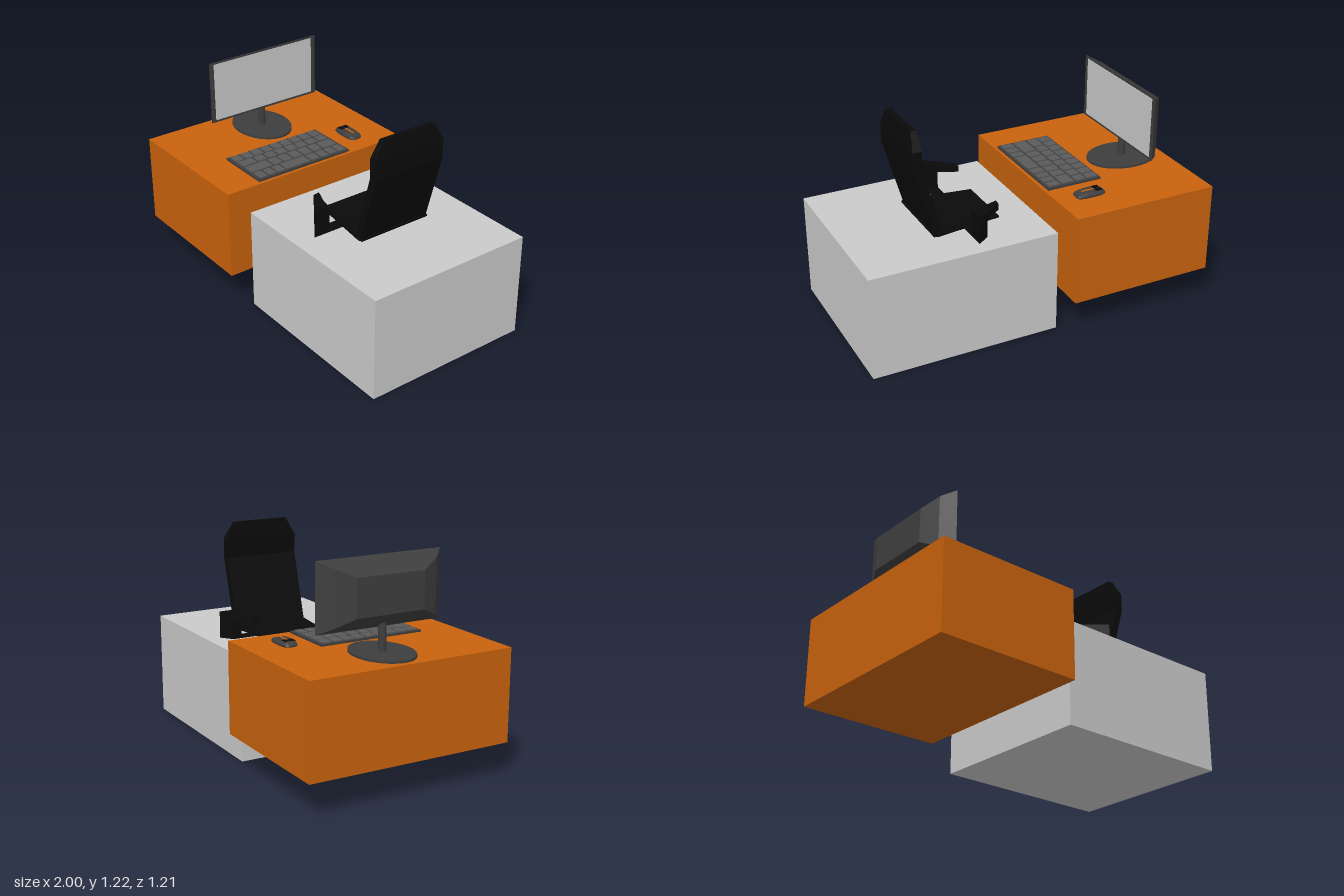
import * as THREE from 'three';

const mat = (name, color, extra = {}) => {
  const m = new THREE.MeshStandardMaterial({ color, ...extra });
  m.name = name;
  return m;
};

// Skin between matching rings of [x, y, z] points, closed at both ends, faceted.
function loft(rings) {
  const pos = [];
  const tri = (a, b, c) => pos.push(...a, ...b, ...c);
  const n = rings[0].length;
  for (let r = 0; r + 1 < rings.length; r++) {
    const a = rings[r], b = rings[r + 1];
    for (let i = 0; i < n; i++) {
      const j = (i + 1) % n;
      tri(a[i], a[j], b[j]);
      tri(a[i], b[j], b[i]);
    }
  }
  const first = rings[0], last = rings[rings.length - 1];
  for (let i = 1; i + 1 < n; i++) {
    tri(first[0], first[i + 1], first[i]);
    tri(last[0], last[i], last[i + 1]);
  }
  const g = new THREE.BufferGeometry();
  g.setAttribute('position', new THREE.Float32BufferAttribute(pos, 3));
  g.computeVertexNormals();
  return g;
}

// Plan outline of [x, z] points raised from y0 to y1.
function plan(points, y0, y1) {
  const shape = new THREE.Shape(points.map(([x, z]) => new THREE.Vector2(x, -z)));
  const g = new THREE.ExtrudeGeometry(shape, { depth: y1 - y0, bevelEnabled: false });
  return g.rotateX(-Math.PI / 2).translate(0, y0, 0);
}

// Box given by its limits.
function span(x0, x1, y0, y1, z0, z1) {
  return new THREE.BoxGeometry(x1 - x0, y1 - y0, z1 - z0)
    .translate((x0 + x1) / 2, (y0 + y1) / 2, (z0 + z1) / 2);
}

export function createModel() {
  const orange = mat('orange', 0xc8620d);
  const lightGrey = mat('lightGrey', 0xcacaca);
  const darkGrey = mat('darkGrey', 0x3e3e3e);
  const keyGrey = mat('keyGrey', 0x5a5a5a);
  const black = mat('black', 0x0a0a0a);

  const model = new THREE.Group();
  model.name = 'workstation';
  const group = (name) => {
    const g = new THREE.Group();
    g.name = name;
    model.add(g);
    return g;
  };
  const add = (parent, name, geo, material) => {
    const m = new THREE.Mesh(geo, material);
    m.name = name;
    parent.add(m);
    return m;
  };

  // Desk and platform blocks
  add(model, 'desk', span(-1, -0.145, 0.197, 0.716, -0.603, 0.603), orange);
  add(model, 'platform', span(-0.085, 1, 0, 0.598, -0.5, 0.5), lightGrey);

  // Monitor with a back that tapers in two steps
  const monitor = group('monitor');
  monitor.position.z = -0.036;
  const slab = (x, y0, y1, hz) => [[x, y0, -hz], [x, y1, -hz], [x, y1, hz], [x, y0, hz]];
  add(monitor, 'monitorCase', loft([
    slab(-0.835, 0.935, 1.14, 0.2),
    slab(-0.787, 0.885, 1.187, 0.305),
    slab(-0.72, 0.847, 1.221, 0.371),
  ]), darkGrey);
  add(monitor, 'screen', span(-0.722, -0.717, 0.861, 1.207, -0.341, 0.341), lightGrey);
  add(monitor, 'standPole',
    new THREE.CylinderGeometry(0.022, 0.022, 0.2, 16).translate(-0.757, 0.82, 0), darkGrey);
  add(monitor, 'standBase',
    new THREE.CylinderGeometry(1, 1, 0.014, 32).scale(0.212, 1, 0.161).translate(-0.757, 0.722, 0), darkGrey);

  // Keyboard: four columns of keys, each with its own key lengths along z
  const keyboard = group('keyboard');
  add(keyboard, 'keyboardBase', span(-0.498, -0.164, 0.714, 0.727, -0.241, 0.385), darkGrey);
  const columns = [
    [-0.487, -0.42, [1, 1, 1, 1, 1, 1, 1, 1, 1]],
    [-0.409, -0.35, [1, 1, 1, 1, 1, 1, 1, 1.5]],
    [-0.336, -0.262, [1.5, 1, 1, 1, 1, 1, 2.2]],
    [-0.248, -0.178, [0.9, 0.9, 0.9, 1, 2.6, 0.9, 0.9, 0.9]],
  ];
  for (const [x0, x1, keys] of columns) {
    const unit = 0.606 / keys.reduce((a, b) => a + b);
    let z = -0.231;
    for (const k of keys) {
      add(keyboard, 'key', span(x0, x1, 0.724, 0.733, z + 0.007, z + k * unit - 0.007), keyGrey);
      z += k * unit;
    }
  }

  // Mouse: stacked rounded outlines, with buttons and a stripe on top
  const mouse = group('mouse');
  const power = (v) => Math.sign(v) * Math.abs(v) ** 0.55;
  const outline = (y, rx, rz, cx = -0.345) => Array.from({ length: 24 }, (_, i) => {
    const a = (i / 24) * Math.PI * 2;
    return [cx + rx * power(Math.sin(a)), y, -0.375 + rz * power(Math.cos(a))];
  });
  add(mouse, 'mouseBody', loft([
    outline(0.715, 0.086, 0.042),
    outline(0.722, 0.09, 0.046),
    outline(0.733, 0.084, 0.042),
    outline(0.743, 0.058, 0.034, -0.355),
  ]), darkGrey);
  for (const s of [-1, 1]) {
    const zc = -0.375 + s * 0.017;
    add(mouse, 'mouseButton', span(-0.408, -0.372, 0.739, 0.745, zc - 0.014, zc + 0.014), black);
  }
  add(mouse, 'mouseStripe', span(-0.37, -0.295, 0.739, 0.745, -0.381, -0.369), orange);

  // Chair
  const chair = group('chair');
  chair.position.z = -0.018;
  add(chair, 'seat', plan(
    [[0.118, -0.178], [0.5, -0.232], [0.525, -0.225], [0.525, 0.225], [0.5, 0.232], [0.118, 0.178]],
    0.594, 0.61), black);
  add(chair, 'seatCushion', plan(
    [[0.2, -0.165], [0.515, -0.21], [0.515, 0.21], [0.2, 0.165]], 0.605, 0.616), black);
  const level = (y, x0, x1, hz) => [[x0, y, -hz], [x0, y, hz], [x1, y, hz], [x1, y, -hz]];
  add(chair, 'backrest', loft([
    level(0.6, 0.465, 0.515, 0.223),
    level(1.0, 0.581, 0.629, 0.223),
    level(1.11, 0.578, 0.629, 0.223),
    level(1.207, 0.584, 0.616, 0.168),
  ]), black);

  // Angled armrests, one on each side
  for (const s of [-1, 1]) {
    const side = (pts) => pts.map(([x, z]) => [x, s * z]);
    add(chair, 'armStrut', plan(side([[0.27, 0.18], [0.34, 0.18], [0.34, 0.32], [0.27, 0.32]]), 0.59, 0.603), black);
    add(chair, 'armPost', plan(side([[0.27, 0.298], [0.34, 0.298], [0.34, 0.398], [0.27, 0.348]]), 0.59, 0.72), black);
    // Pad drops slightly towards its inner tip
    const pad = plan(side([[0.34, 0.398], [0.17, 0.278], [0.165, 0.238], [0.27, 0.285], [0.34, 0.298]]), 0.704, 0.751);
    const p = pad.attributes.position;
    for (let i = 0; i < p.count; i++) {
      if (p.getX(i) < 0.2 && p.getY(i) > 0.74) p.setY(i, 0.741);
    }
    pad.computeVertexNormals();
    add(chair, 'armPad', pad, black);
  }

  return model;
}
